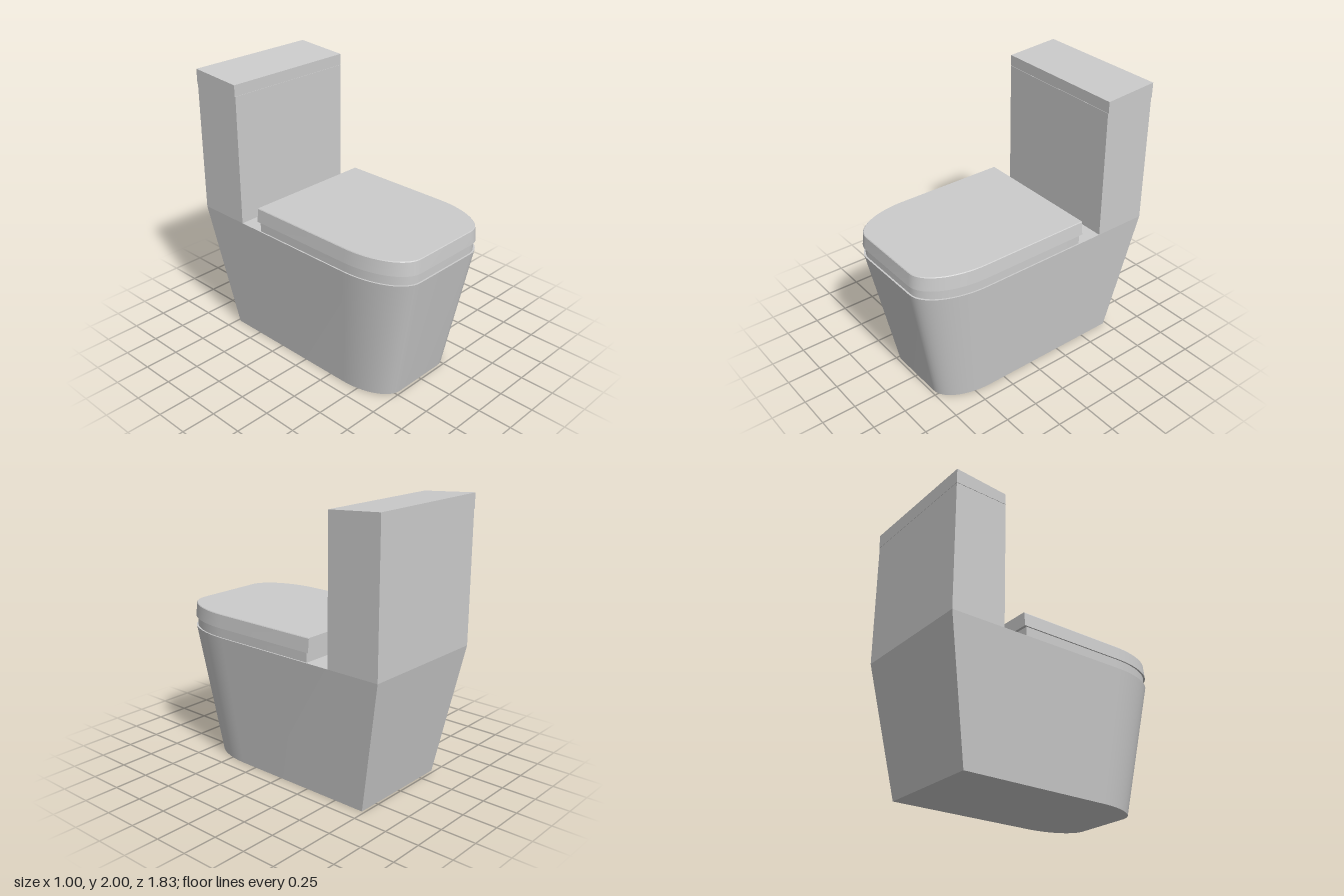
import * as THREE from 'three';
import { toCreasedNormals } from 'three/addons/utils/BufferGeometryUtils.js';

const material = new THREE.MeshStandardMaterial({ color: 0xcccccc });
const ARC_STEPS = 16;

// D-shaped plan: square back corners, elliptical front corners, flat nose
function outline({ y, half, back, front }) {
  const rx = half * 0.48, rz = half * 0.9;
  const right = [];
  for (let i = 0; i <= ARC_STEPS; i++) {
    const a = (i / ARC_STEPS) * Math.PI / 2;
    right.push([half - rx + rx * Math.sin(a), y, front - rz + rz * Math.cos(a)]);
  }
  right.push([half, y, back]);
  const left = right.map(([x, h, z]) => [-x, h, z]).reverse();
  return [...right, ...left];
}

// Closed solid through a stack of outlines, bottom to top
function loft(sections) {
  const rings = sections.map(outline);
  const n = rings[0].length;
  const index = [];
  for (let r = 0; r < rings.length - 1; r++) {
    for (let i = 0; i < n; i++) {
      const a = r * n + i, b = r * n + (i + 1) % n;
      index.push(a, b, b + n, a, b + n, a + n);
    }
  }
  const top = (rings.length - 1) * n;
  for (let i = 1; i < n - 1; i++) {
    index.push(0, i + 1, i, top, top + i, top + i + 1);
  }
  const geometry = new THREE.BufferGeometry();
  geometry.setAttribute('position', new THREE.Float32BufferAttribute(rings.flat(2), 3));
  geometry.setIndex(index);
  return toCreasedNormals(geometry, Math.PI / 6);
}

// Side profile [z, y] extruded across the width
function acrossWidth(profile, width) {
  const shape = new THREE.Shape(profile.map(([z, y]) => new THREE.Vector2(-z, y)));
  const geometry = new THREE.ExtrudeGeometry(shape, { depth: width, bevelEnabled: false });
  return geometry.translate(0, 0, -width / 2).rotateY(Math.PI / 2);
}

export function createModel() {
  const group = new THREE.Group();
  const add = (name, geometry) => {
    const mesh = new THREE.Mesh(geometry, material);
    mesh.name = name;
    group.add(mesh);
  };

  // Pedestal tapering towards the floor
  add('bowlBase', loft([
    { y: 0, half: 0.398, back: -0.73, front: 0.73 },
    { y: 0.96, half: 0.497, back: -0.912, front: 0.912 },
  ]));

  // Seat ring, set in slightly under the lid
  add('seat', loft([
    { y: 0.96, half: 0.487, back: -0.33, front: 0.9 },
    { y: 1.03, half: 0.487, back: -0.33, front: 0.9 },
  ]));

  // Lid with gently drafted sides
  add('seatLid', loft([
    { y: 1.03, half: 0.497, back: -0.35, front: 0.914 },
    { y: 1.125, half: 0.488, back: -0.35, front: 0.906 },
    { y: 1.13, half: 0.484, back: -0.35, front: 0.902 },
  ]));

  // Water tank rising flush from the back of the base
  add('tank', acrossWidth([[-0.515, 0.96], [-0.912, 0.96], [-0.912, 1.893], [-0.515, 1.893]], 0.994));

  // Tank cover sloping down to the front
  add('tankCover', acrossWidth([[-0.518, 1.893], [-0.914, 1.893], [-0.914, 2], [-0.518, 1.973]], 1));

  return group;
}
